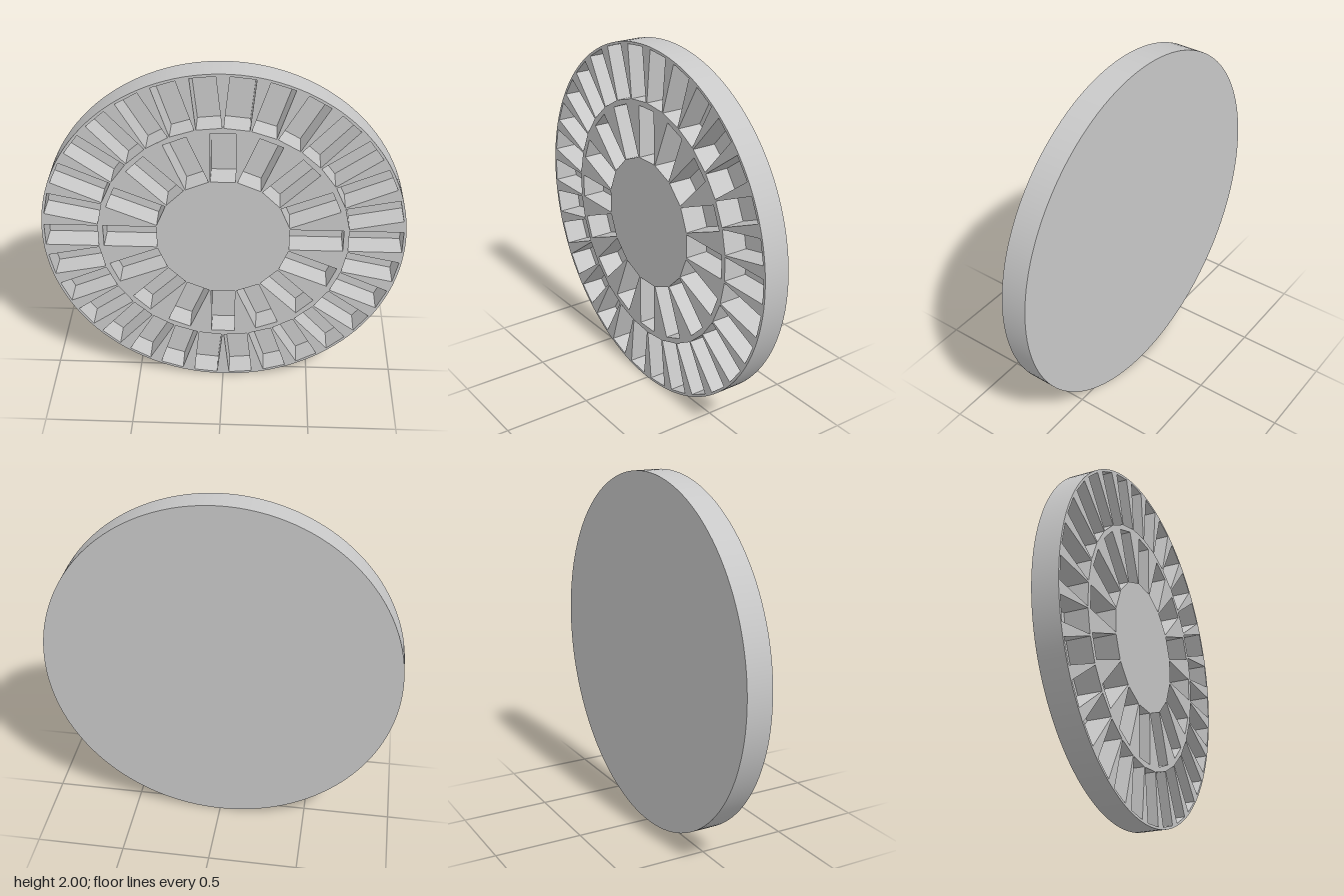
import * as THREE from 'three';
import { mergeGeometries } from 'three/addons/utils/BufferGeometryUtils.js';

const RADIUS = 1, HALF = 0.074, SEGMENTS = 128;
const POCKET = { length: 0.295, width: 0.135, depth: 0.135 };
const RINGS = [
  { name: 'outerPockets', count: 30, radius: 0.837 },
  { name: 'innerPockets', count: 16, radius: 0.513 },
];

// Box seen from inside, open toward +z, with its rim on the front face
function pocketGeometry() {
  const g = new THREE.BoxGeometry(POCKET.length, POCKET.width, POCKET.depth);
  const index = Array.from(g.index.array);
  index.splice(24, 6);
  g.setIndex(index.reverse());
  const n = g.attributes.normal;
  for (let i = 0; i < n.count; i++) n.setXYZ(i, -n.getX(i), -n.getY(i), -n.getZ(i));
  g.clearGroups();
  return g.translate(0, 0, HALF - POCKET.depth / 2);
}

// Rectangular opening matching a pocket
function pocketHole(radius, angle) {
  const l = POCKET.length / 2, w = POCKET.width / 2;
  const corners = [[-l, -w], [-l, w], [l, w], [l, -w]].map(([x, y]) =>
    new THREE.Vector2(radius + x, y).rotateAround(new THREE.Vector2(), angle));
  return new THREE.Path(corners);
}

export function createModel() {
  const model = new THREE.Group();
  model.name = 'pocketedDisc';
  const disc = new THREE.Group();
  disc.name = 'disc';
  disc.position.y = RADIUS;
  model.add(disc);

  const grey = new THREE.MeshStandardMaterial({ color: 0xc8c8c8 });
  grey.name = 'lightGrey';
  const add = (name, geometry) => {
    const mesh = new THREE.Mesh(geometry, grey);
    mesh.name = name;
    disc.add(mesh);
  };

  // Front face outline; the openings are cut below
  const outline = [];
  for (let i = 0; i < SEGMENTS; i++) {
    const a = (i / SEGMENTS) * Math.PI * 2;
    outline.push(new THREE.Vector2(Math.cos(a) * RADIUS, Math.sin(a) * RADIUS));
  }
  const face = new THREE.Shape(outline);

  // Two rings of radial pockets
  for (const { name, count, radius } of RINGS) {
    const pockets = [];
    for (let i = 0; i < count; i++) {
      const angle = (i / count) * Math.PI * 2;
      face.holes.push(pocketHole(radius, angle));
      pockets.push(pocketGeometry().translate(radius, 0, 0).rotateZ(angle));
    }
    add(name, mergeGeometries(pockets));
  }
  add('frontFace', new THREE.ShapeGeometry(face).translate(0, 0, HALF));

  // Smooth outer rim and plain back
  add('rim', new THREE.CylinderGeometry(RADIUS, RADIUS, HALF * 2, SEGMENTS, 1, true).rotateX(Math.PI / 2));
  add('backFace', new THREE.CircleGeometry(RADIUS, SEGMENTS).rotateY(Math.PI).translate(0, 0, -HALF));

  return model;
}
